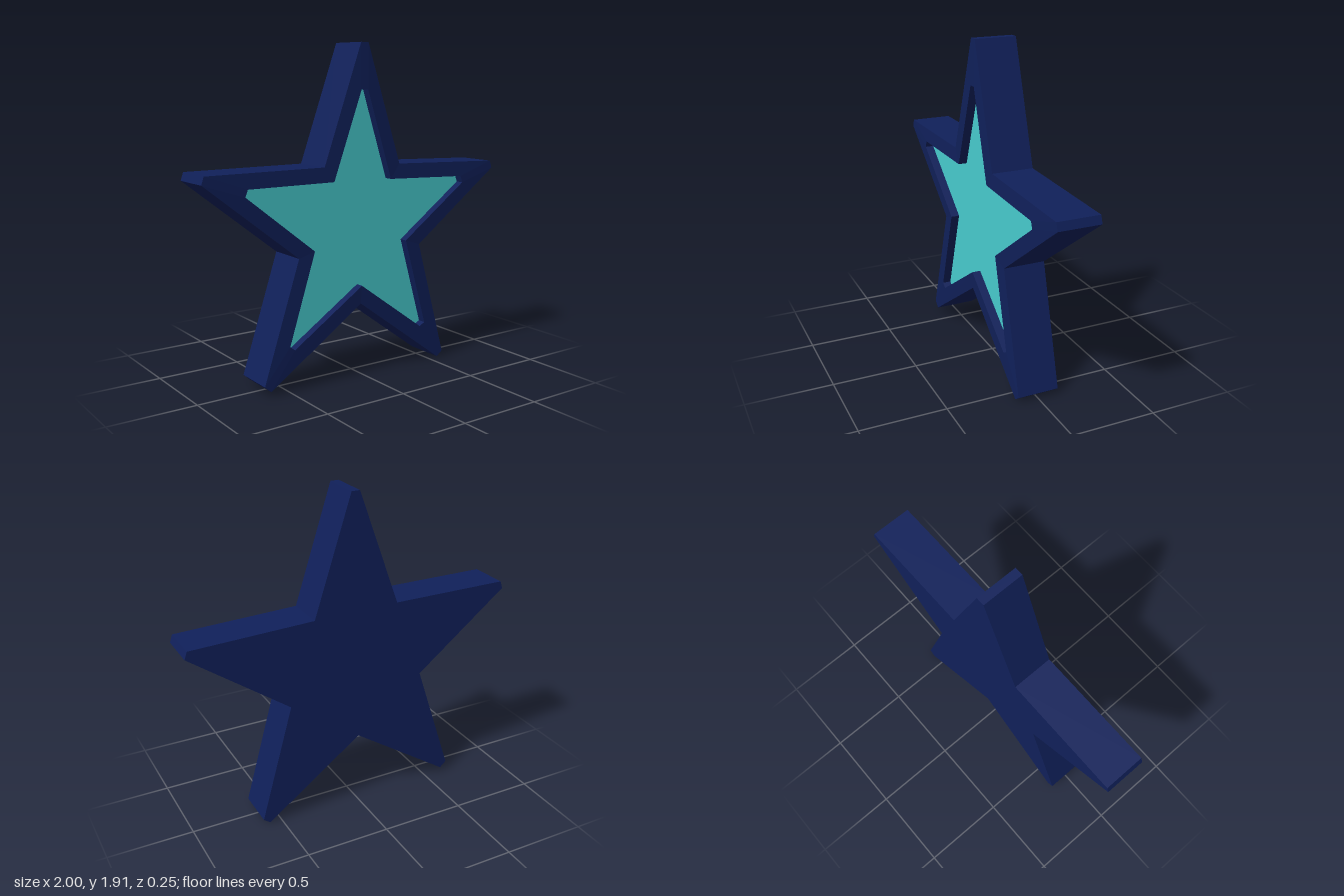
import * as THREE from 'three';

// Star outlines, counter-clockwise from the top tip; every tip is cut blunt
const OUTER = [
  [0.035, 1.915], [-0.015, 1.915], [-0.26, 1.235], [-0.985, 1.235], [-1, 1.19],
  [-0.43, 0.745], [-0.655, 0.06], [-0.615, 0.025], [-0.015, 0.43], [0.57, 0],
  [0.61, 0.03], [0.415, 0.73], [1, 1.155], [0.985, 1.2], [0.26, 1.225],
];
const INNER = [
  [0.03, 1.655], [-0.015, 1.655], [-0.2, 1.15], [-0.74, 1.15], [-0.755, 1.11],
  [-0.33, 0.775], [-0.495, 0.26], [-0.465, 0.235], [-0.01, 0.535], [0.425, 0.22],
  [0.46, 0.24], [0.31, 0.765], [0.75, 1.08], [0.735, 1.12], [0.195, 1.14],
];
const BACK = -0.125, FRONT = 0.12, LIP = 0.125, FLOOR = 0.075;

// Flat-shaded band joining two matching outlines at different depths
function band(a, za, b, zb) {
  const pos = [];
  a.forEach((p, i) => {
    const j = (i + 1) % a.length;
    const a0 = [...p, za], a1 = [...a[j], za];
    const b0 = [...b[i], zb], b1 = [...b[j], zb];
    pos.push(...a0, ...a1, ...b1, ...a0, ...b1, ...b0);
  });
  const geo = new THREE.BufferGeometry();
  geo.setAttribute('position', new THREE.Float32BufferAttribute(pos, 3));
  geo.computeVertexNormals();
  return geo;
}

// Flat star-shaped face
function face(outline, z) {
  const shape = new THREE.Shape(outline.map(([x, y]) => new THREE.Vector2(x, y)));
  return new THREE.ShapeGeometry(shape).translate(0, 0, z);
}

export function createModel() {
  const group = new THREE.Group();
  group.name = 'star';
  const navy = new THREE.MeshStandardMaterial({ color: 0x10205a });
  const teal = new THREE.MeshStandardMaterial({ color: 0x48cdd0 });

  const add = (name, geo, mat) => {
    const mesh = new THREE.Mesh(geo, mat);
    mesh.name = name;
    group.add(mesh);
    return mesh;
  };

  // Frame: side walls, slightly raised front rim, recess walls
  add('sideWall', band(OUTER, BACK, OUTER, FRONT), navy);
  add('frontRim', band(OUTER, FRONT, INNER, LIP), navy);
  add('recessWall', band(INNER, LIP, INNER, FLOOR), navy);

  // Back face, turned to look towards -z
  const mirrored = OUTER.map(([x, y]) => [-x, y]);
  add('backPanel', face(mirrored, -BACK).rotateY(Math.PI), navy);

  // Recessed coloured panel
  add('frontPanel', face(INNER, FLOOR), teal);

  return group;
}
